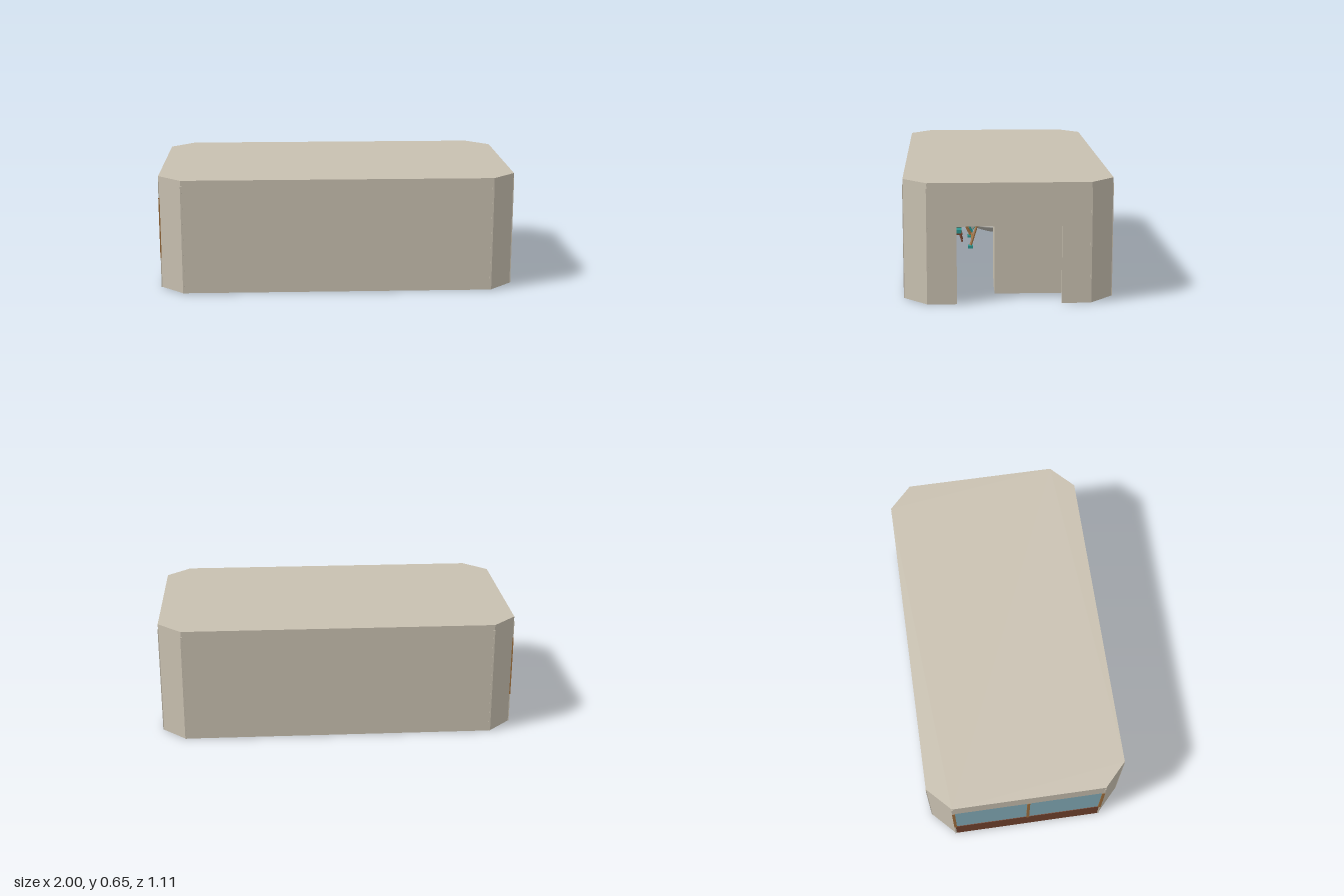
import * as THREE from 'three';

export function createModel() {
  const root = new THREE.Group();
  const mat = (name, color, side = THREE.FrontSide) => {
    const m = new THREE.MeshStandardMaterial({ color, side });
    m.name = name;
    return m;
  };
  const plaster = mat('plaster', 0xc8c0b0);
  const glass = mat('glass', 0x86aebb);
  const wood = mat('wood', 0x74442e);
  const brass = mat('brass', 0xa0713f);
  const teal = mat('teal', 0x2c9690);
  const lining = mat('lining', 0xb8b6ae, THREE.DoubleSide);
  const white = mat('white', 0xe2e0da);

  const add = (parent, name, geo, m, x = 0, y = 0, z = 0) => {
    const mesh = new THREE.Mesh(geo, m);
    mesh.name = name;
    mesh.position.set(x, y, z);
    parent.add(mesh);
    return mesh;
  };
  // box given by its lower and upper limits
  const box = (parent, name, m, x0, x1, y0, y1, z0, z1) =>
    add(parent, name, new THREE.BoxGeometry(x1 - x0, y1 - y0, z1 - z0), m,
      (x0 + x1) / 2, (y0 + y1) / 2, (z0 + z1) / 2);
  // prism from a floor plan of [x, z] points
  const prism = (parent, name, m, pts, y0, y1, hole) => {
    const shape = new THREE.Shape(pts.map(([x, z]) => new THREE.Vector2(x, -z)));
    if (hole) shape.holes.push(new THREE.Path(hole.map(([x, z]) => new THREE.Vector2(x, -z))));
    const geo = new THREE.ExtrudeGeometry(shape, { depth: y1 - y0, bevelEnabled: false });
    geo.rotateX(-Math.PI / 2);
    return add(parent, name, geo, m, 0, y0, 0);
  };
  // round bar between two points
  const bar = (parent, name, m, a, b, r) => {
    const p = new THREE.Vector3(...a), q = new THREE.Vector3(...b);
    const mesh = add(parent, name, new THREE.CylinderGeometry(r, r, p.distanceTo(q), 10), m);
    mesh.position.copy(p).add(q).multiplyScalar(0.5);
    mesh.quaternion.setFromUnitVectors(new THREE.Vector3(0, 1, 0), q.sub(p).normalize());
    return mesh;
  };

  // room shell: octagonal plan, open underneath
  const shell = new THREE.Group();
  shell.name = 'roomShell';
  root.add(shell);
  const ring = (X, Z, x, z) => [[X, -z], [X, z], [x, Z], [-x, Z], [-X, z], [-X, -z], [-x, -Z], [x, -Z]];
  const outer = ring(0.997, 0.555, 0.865, 0.428), inner = ring(0.977, 0.535, 0.857, 0.42);
  prism(shell, 'roof', plaster, outer, 0.63, 0.645);
  for (const i of [1, 2, 3, 5, 6, 7]) {
    const j = (i + 1) % 8;
    prism(shell, i === 2 || i === 6 ? 'longWall' : 'cornerWall', plaster,
      [outer[i], outer[j], inner[j], inner[i]], 0, 0.63);
  }
  // seam battens beside every corner
  for (const sx of [-1, 1]) for (const sz of [-1, 1]) {
    add(shell, 'seamBatten', new THREE.BoxGeometry(0.01, 0.615, 0.006), plaster, sx * 0.862, 0.3075, sz * 0.554);
    add(shell, 'seamBatten', new THREE.BoxGeometry(0.006, 0.615, 0.008), plaster, sx * 0.996, 0.3075, sz * 0.427);
  }

  // entrance wall
  for (const s of [-1, 1])
    box(shell, 'entranceWall', plaster, 0.977, 0.997, 0, 0.63, s < 0 ? -0.428 : 0.275, s < 0 ? -0.275 : 0.428);
  box(shell, 'entranceHeader', plaster, 0.977, 0.997, 0.415, 0.63, -0.275, 0.275);

  // window wall
  box(shell, 'windowHeader', plaster, -0.997, -0.977, 0.52, 0.63, -0.428, 0.428);
  box(shell, 'windowPanel', wood, -0.997, -0.977, 0, 0.175, -0.428, 0.428);
  box(shell, 'windowGlass', glass, -0.994, -0.984, 0.175, 0.52, -0.428, 0.428);
  for (const z of [-0.424, 0, 0.424])
    box(shell, 'windowPost', brass, -1, -0.975, 0.17, 0.52, z - 0.008, z + 0.008);

  // partition closet behind the entrance
  const closet = new THREE.Group();
  closet.name = 'partition';
  root.add(closet);
  const rect = (x0, x1, z0, z1) => [[x0, z0], [x0, z1], [x1, z1], [x1, z0]];
  prism(closet, 'partitionWalls', plaster, rect(0.59, 0.8, -0.535, 0.07), 0, 0.375,
    rect(0.605, 0.785, -0.52, 0.055));
  box(closet, 'partitionTop', plaster, 0.59, 0.8, 0.375, 0.39, -0.535, 0.07);

  // washing corner
  box(root, 'tray', plaster, 0.37, 0.56, 0, 0.02, -0.22, 0);
  box(root, 'glassScreen', glass, 0.37, 0.376, 0.02, 0.18, -0.22, -0.05);
  add(root, 'basin', new THREE.CylinderGeometry(0.055, 0.035, 0.09, 20), white, 0.52, 0.13, -0.44);
  add(root, 'basinFoot', new THREE.CylinderGeometry(0.02, 0.03, 0.085, 16), white, 0.52, 0.0425, -0.44);
  box(root, 'wallCabinet', wood, 0.22, 0.34, 0.2, 0.405, -0.4, -0.2);
  // small stand
  bar(root, 'standPole', wood, [0.54, 0, -0.3], [0.54, 0.16, -0.3], 0.005);
  add(root, 'standKnob', new THREE.SphereGeometry(0.012, 10, 8), brass, 0.54, 0.16, -0.3);

  // half dome, mouth towards +x, with its lower sector left open
  const dome = new THREE.Group();
  dome.name = 'dome';
  dome.position.set(-0.42, 0.165, 0.015);
  root.add(dome);
  const gap = 1.0, sweep = Math.PI * 2 - gap * 2, R = 0.19;
  const cap = (name, r, m, t0, t1) => {
    const g = new THREE.SphereGeometry(r, 36, 12, gap, sweep, t0, t1);
    g.rotateZ(Math.PI / 2);
    return add(dome, name, g, m);
  };
  cap('domeLining', R - 0.008, lining, 0.48, Math.PI / 2 - 0.48);
  cap('domeShell', R, teal, 0, Math.PI / 2);
  const hub = new THREE.SphereGeometry(R - 0.012, 24, 8, 0, Math.PI * 2, 0, 0.5);
  hub.rotateZ(Math.PI / 2);
  add(dome, 'domeHub', hub, lining);
  // hoops parallel to the mouth, drawn in the yz plane
  const hoop = (name, m, r, tube, x) => {
    const g = new THREE.TorusGeometry(r, tube, 8, 48, sweep);
    g.rotateZ(-Math.PI / 2 + gap);
    g.rotateY(Math.PI / 2);
    add(dome, name, g, m, x, 0, 0);
  };
  hoop('mouthRim', brass, R + 0.006, 0.009, 0);
  hoop('mouthTrim', teal, R - 0.01, 0.006, 0.004);
  hoop('outerRim', brass, R + 0.012, 0.005, -0.018);
  for (const t of [0.5, 0.85, 1.2])
    hoop('domeHoop', brass, R * Math.sin(t), 0.005, -R * Math.cos(t));
  // ribs from the mouth to the rear, with dark seams on the lining
  const ribs = 9;
  for (let i = 0; i < ribs; i++) {
    const a = gap + sweep * i / (ribs - 1);
    const dy = -Math.cos(a), dz = Math.sin(a);
    const arc = (r, from) => new THREE.CatmullRomCurve3(Array.from({ length: 8 }, (_, k) => {
      const t = from + (Math.PI / 2 - from) * k / 7;
      return new THREE.Vector3(-r * Math.cos(t), r * Math.sin(t) * dy, r * Math.sin(t) * dz);
    }));
    add(dome, 'domeRib', new THREE.TubeGeometry(arc(R, 0.1), 16, 0.005, 6), brass);
    add(dome, 'liningSeam', new THREE.TubeGeometry(arc(R - 0.009, 0.5), 14, 0.0025, 5), teal);
  }
  // wooden plate on the rear of the dome
  box(dome, 'rearPlate', wood, -0.13, -0.06, 0.11, 0.19, -0.09, -0.02);
  // shallow bowl closing the bottom
  const bowl = [[0, -0.085], [0.08, -0.08], [0.13, -0.062], [0.165, -0.03]].map(p => new THREE.Vector2(...p));
  add(dome, 'bowl', new THREE.LatheGeometry(bowl, 40), lining);
  const bowlRim = new THREE.TorusGeometry(0.165, 0.007, 8, 48);
  bowlRim.rotateX(Math.PI / 2);
  add(dome, 'bowlRim', bowlRim, white, 0, -0.03, 0);

  // legs under the dome
  for (const sx of [-1, 1]) for (const sz of [-1, 1]) {
    const x = -0.42 + sx * 0.12, z = 0.015 + sz * 0.125;
    bar(root, 'domeLeg', brass, [x, 0.135, z], [x + sx * 0.03, 0.015, z + sz * 0.04], 0.008);
    add(root, 'legJoint', new THREE.SphereGeometry(0.013, 10, 8), brass, x, 0.135, z);
    box(root, 'legFoot', teal, x + sx * 0.03 - 0.022, x + sx * 0.03 + 0.022, 0, 0.015,
      z + sz * 0.04 - 0.016, z + sz * 0.04 + 0.016);
  }
  for (const sz of [-1, 1])
    bar(root, 'domeBrace', brass, [-0.56, 0.05, 0.015 + sz * 0.155], [-0.28, 0.05, 0.015 + sz * 0.155], 0.006);

  // chairs
  const chair = (x, z, turn) => {
    const g = new THREE.Group();
    g.name = 'chair';
    g.position.set(x, 0, z);
    g.rotation.y = turn;
    root.add(g);
    box(g, 'chairSeat', wood, -0.045, 0.045, 0.045, 0.055, -0.045, 0.045);
    box(g, 'chairCushion', teal, -0.04, 0.04, 0.055, 0.075, -0.04, 0.04);
    box(g, 'chairBack', wood, -0.055, -0.045, 0.055, 0.16, -0.045, 0.045);
    box(g, 'chairBackCushion', teal, -0.045, -0.03, 0.09, 0.155, -0.04, 0.04);
    for (const s of [-1, 1]) {
      box(g, 'chairArm', wood, -0.045, 0.04, 0.095, 0.103, s * 0.05 - 0.006, s * 0.05 + 0.006);
      for (const e of [-1, 1])
        bar(g, 'chairLeg', wood, [e * 0.03, 0.048, s * 0.03], [e * 0.045, 0, s * 0.045], 0.006);
    }
  };
  chair(-0.475, 0.275, Math.PI / 2);
  chair(-0.73, 0.3, 0.3);

  // wooden chest with side handles
  const chest = new THREE.Group();
  chest.name = 'chest';
  root.add(chest);
  box(chest, 'chestBody', wood, -0.25, -0.08, 0, 0.18, 0.36, 0.52);
  bar(chest, 'chestHandle', wood, [-0.08, 0.13, 0.44], [-0.01, 0.13, 0.44], 0.014);
  bar(chest, 'chestHandle', wood, [-0.25, 0.09, 0.44], [-0.28, 0.09, 0.44], 0.014);

  return root;
}
